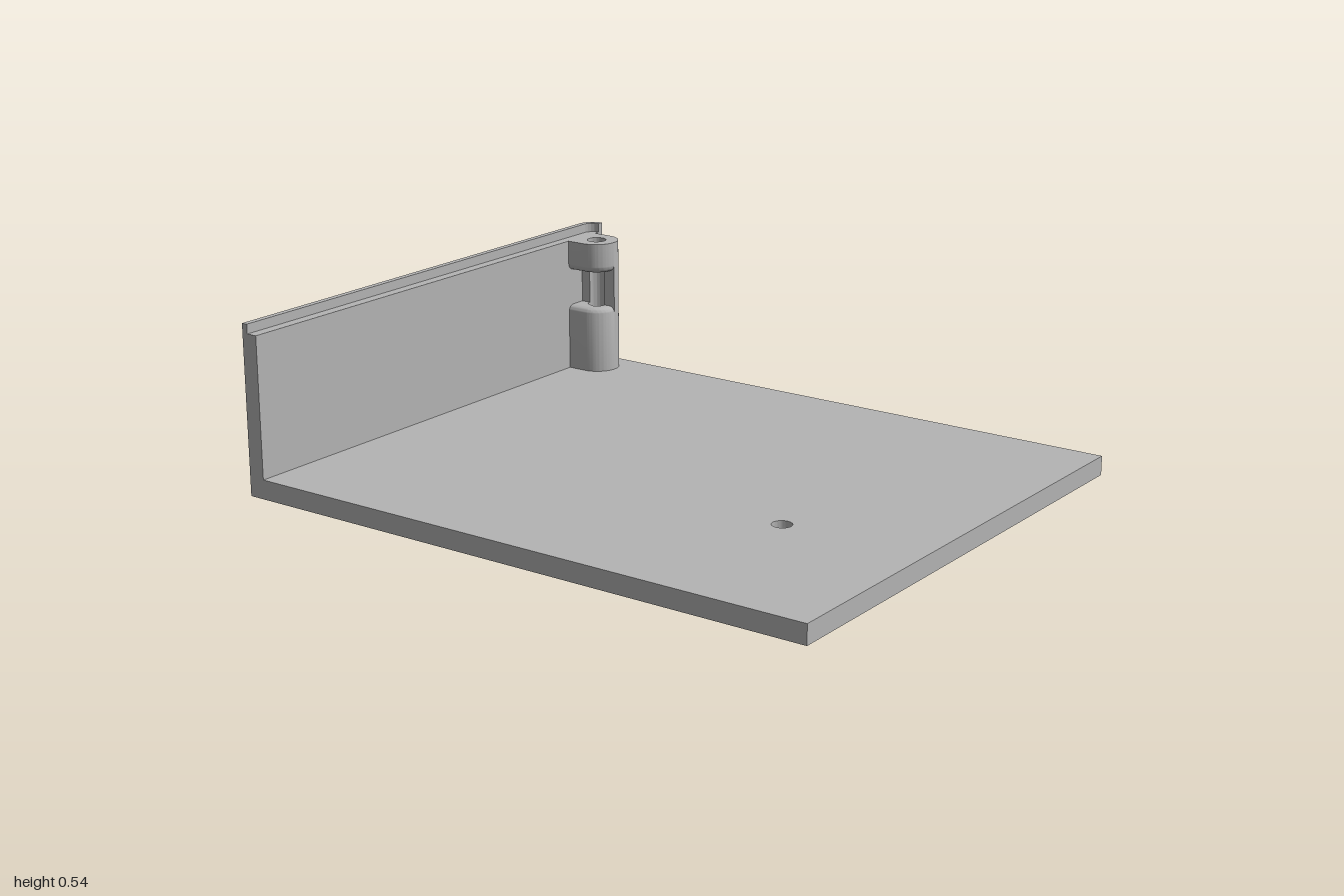
import * as THREE from 'three';
import { toCreasedNormals } from 'three/addons/utils/BufferGeometryUtils.js';

const W = 1, D = 0.84;                 // half width, half depth
const FLOOR = 0.062, WALL = 0.512, LIP = 0.542;
const INNER = -0.945, CORNER = 0.055;  // wall inner face, rounded corner radius
const BX = -0.88, BZ = -0.725, R = 0.074, BORE = 0.032; // boss
const SLOT_LOW = 0.285, SLOT_HIGH = 0.41, FILLET = 0.022;

// Plan shapes use (x, -z); the extrusion runs upward from y0 to y1
function extrudeUp(shape, y0, y1, steps = 1) {
  const g = new THREE.ExtrudeGeometry(shape, { depth: y1 - y0, steps, bevelEnabled: false, curveSegments: 20 });
  g.rotateX(-Math.PI / 2);
  g.translate(0, y0, 0);
  return g;
}

// Half of the boss plan, about its bore centre; side 1 = front, -1 = back
function halfBoss(side) {
  const s = new THREE.Shape();
  const back = INNER - BX;
  const front = side > 0;
  s.moveTo(back, 0);
  s.lineTo(back, -side * R);
  s.lineTo(0, -side * R);
  s.absarc(0, 0, R, -side * Math.PI / 2, 0, !front);
  s.lineTo(BORE, 0);
  s.absarc(0, 0, BORE, 0, -side * Math.PI, front);
  s.closePath();
  return s;
}

// Front half block whose outer edge is rounded off at one end
function filletedBlock(flat, rounded) {
  const steps = 8;
  const g = new THREE.ExtrudeGeometry(halfBoss(1), { depth: 1, steps, bevelEnabled: false, curveSegments: 20 });
  const p = g.attributes.position;
  const dir = Math.sign(rounded - flat);
  for (let i = 0; i < p.count; i++) {
    let x = p.getX(i), v = p.getY(i);
    const k = Math.round(p.getZ(i) * steps);
    const a = k === 0 ? 0 : (k - 1) / (steps - 1) * Math.PI / 2;
    const y = k === 0 ? flat : rounded - dir * FILLET * (1 - Math.sin(a));
    const inset = FILLET * (1 - Math.cos(a));
    if (x > -1e-5 && Math.abs(Math.hypot(x, v) - R) < 1e-4) {
      x *= (R - inset) / R;
      v *= (R - inset) / R;
    } else if (Math.abs(v + R) < 1e-4) v += inset;
    p.setXYZ(i, x + BX, y, BZ - v);
  }
  // Building downward mirrors the block, so restore the corner order
  if (dir < 0) {
    for (let i = 0; i < p.count; i += 3) {
      const b = new THREE.Vector3().fromBufferAttribute(p, i + 1);
      const c = new THREE.Vector3().fromBufferAttribute(p, i + 2);
      p.setXYZ(i + 1, c.x, c.y, c.z);
      p.setXYZ(i + 2, b.x, b.y, b.z);
    }
  }
  return g;
}

export function createModel() {
  const model = new THREE.Group();
  const grey = new THREE.MeshStandardMaterial({ color: 0xb4b4b4 });
  grey.name = 'grey plastic';
  const add = (name, geometry, parent = model) => {
    const mesh = new THREE.Mesh(toCreasedNormals(geometry, 0.6), grey);
    mesh.name = name;
    parent.add(mesh);
  };

  // Floor plate with a rounded back corner and a drilled hole
  const floor = new THREE.Shape();
  floor.moveTo(-W, -D);
  floor.lineTo(W, -D);
  floor.lineTo(W, D);
  floor.lineTo(-W + CORNER, D);
  floor.absarc(-W + CORNER, D - CORNER, CORNER, Math.PI / 2, Math.PI, false);
  floor.closePath();
  const hole = new THREE.Path();
  hole.absarc(0.536, -0.255, 0.031, 0, Math.PI * 2, true);
  floor.holes.push(hole);
  add('floorPlate', extrudeUp(floor, 0, FLOOR));

  // Side wall
  const wall = new THREE.Shape();
  wall.moveTo(-W, -D);
  wall.lineTo(INNER, -D);
  wall.lineTo(INNER, D);
  wall.absarc(-W + CORNER, D - CORNER, CORNER, Math.PI / 2, Math.PI, false);
  wall.closePath();
  add('sideWall', extrudeUp(wall, FLOOR, WALL));

  // Thin raised lip following the wall's outer edge
  const t = 0.02;
  const lip = new THREE.Shape();
  lip.moveTo(-W, -D);
  lip.lineTo(-W + t, -D);
  lip.lineTo(-W + t, D - CORNER);
  lip.absarc(-W + CORNER, D - CORNER, CORNER - t, Math.PI, Math.PI / 2, true);
  lip.lineTo(INNER, D);
  lip.absarc(-W + CORNER, D - CORNER, CORNER, Math.PI / 2, Math.PI, false);
  lip.closePath();
  add('wallLip', extrudeUp(lip, WALL, LIP));

  // Screw boss: full-height back half, front half split by a slot
  const boss = new THREE.Group();
  boss.name = 'screwBoss';
  model.add(boss);
  const backHalf = extrudeUp(halfBoss(-1), FLOOR, WALL);
  backHalf.translate(BX, 0, BZ);
  add('bossBack', backHalf, boss);
  add('bossLowerFront', filletedBlock(FLOOR, SLOT_LOW), boss);
  add('bossUpperFront', filletedBlock(WALL, SLOT_HIGH), boss);

  return model;
}
